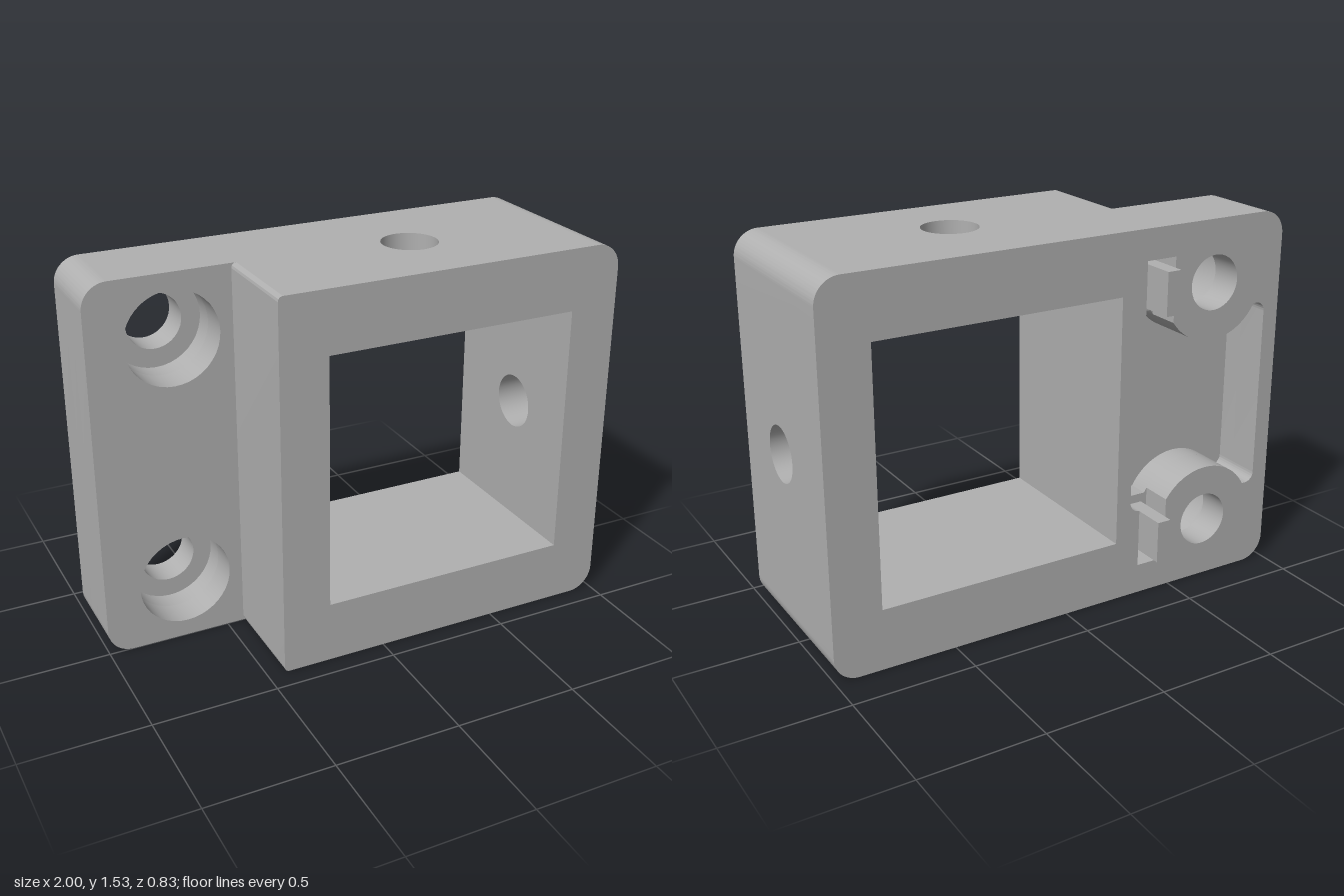
import * as THREE from 'three';
import { toCreasedNormals } from 'three/addons/utils/BufferGeometryUtils.js';

const H = 1.53;                              // overall height
const BACK = -0.345, FRONT = 0.415;          // body depth
const WIN = { x0: -0.235, x1: 0.8, y0: 0.25, y1: 1.28 };
const BOLT = { x: -0.67, y: 1.275, r: 0.112, bore: 0.188, boss: 0.235 };

// Rectangle with a radius per corner: bottom-left, bottom-right, top-right, top-left
function rect(x0, y0, x1, y1, [bl, br, tr, tl] = [0, 0, 0, 0]) {
  const s = new THREE.Shape();
  const corner = (x, y, r, a) => r
    ? s.absarc(x, y, r, a, a + Math.PI / 2, false)
    : s.lineTo(x, y);
  s.moveTo(x0, y0 + bl);
  corner(x0 + bl, y0 + bl, bl, Math.PI);
  corner(x1 - br, y0 + br, br, -Math.PI / 2);
  corner(x1 - tr, y1 - tr, tr, 0);
  corner(x0 + tl, y1 - tl, tl, Math.PI / 2);
  return s;
}

function circle(x, y, r) {
  return new THREE.Path().absarc(x, y, r, 0, Math.PI * 2, false);
}

// Pocket between the bolt bosses, optionally with the tab slots; upper half is mirrored down
function pocket(withSlots) {
  const right = -0.3, left = -0.93, top = 1.16, r = 0.045;
  const slot = { x0: -0.477, x1: -0.345, top: 1.405 };
  const p = new THREE.Path();
  p.moveTo(right, 0.8);
  p.absarc(right - r, top - r, r, 0, Math.PI / 2, false);
  const end = Math.asin((BOLT.y - top) / BOLT.boss);
  let start = end;
  if (withSlots) {
    p.lineTo(slot.x1, slot.top);
    p.lineTo(slot.x0, slot.top);
    start = Math.acos((slot.x0 - BOLT.x) / BOLT.boss);
  }
  p.absarc(BOLT.x, BOLT.y, BOLT.boss, -start, end - Math.PI, true);
  p.absarc(left + 0.04, top - 0.04, 0.04, Math.PI / 2, Math.PI, false);
  const half = p.getPoints(16);
  const lower = half.map(v => new THREE.Vector2(v.x, H - v.y)).reverse();
  return new THREE.Path([...half, ...lower]);
}

export function createModel() {
  const model = new THREE.Group();
  model.name = 'mountingBracket';
  const grey = new THREE.MeshStandardMaterial({ color: 0xb0b0b0 });
  grey.name = 'grey';

  const add = (name, geometry) => {
    const mesh = new THREE.Mesh(geometry, grey);
    mesh.name = name;
    model.add(mesh);
    return mesh;
  };
  const extrude = (shape, depth) => toCreasedNormals(
    new THREE.ExtrudeGeometry(shape, { depth, bevelEnabled: false, curveSegments: 20 }), 0.6);
  const slab = (name, shape, z0, z1) =>
    add(name, extrude(shape, z1 - z0).translate(0, 0, z0));

  // Flange in three layers: slots and pocket, pocket with counterbores, solid front
  const layers = [
    ['flangeBack', BACK, -0.21, BOLT.r, pocket(true)],
    ['flangeMiddle', -0.21, -0.125, BOLT.bore, pocket(false)],
    ['flangeFront', -0.125, 0, BOLT.bore, null],
  ];
  for (const [name, z0, z1, radius, cut] of layers) {
    const s = rect(-1, 0, WIN.x0, H, [0.1, 0, 0, 0.1]);
    for (const y of [BOLT.y, H - BOLT.y]) s.holes.push(circle(BOLT.x, y, radius));
    if (cut) s.holes.push(cut);
    slab(name, s, z0, z1);
  }

  // Locating tabs standing in the slots
  for (const y of [1.285, H - 1.285]) {
    add('locatingTab', new THREE.BoxGeometry(0.06, 0.176, 0.205)).position.set(-0.42, y, -0.3125);
  }

  // Square frame: inner side wall, floor and upper outer corner
  slab('innerWall', rect(-0.43, 0, WIN.x0, H, [0.02, 0, 0, 0.02]), 0, FRONT);
  slab('bottomWall', rect(WIN.x0, 0, 1, WIN.y0, [0, 0.1, 0, 0]), BACK, FRONT);
  slab('topCorner', rect(WIN.x1, WIN.y1, 1, H, [0, 0, 0.1, 0]), BACK, FRONT);

  // Top wall with its screw hole
  const top = rect(WIN.x0, -FRONT, WIN.x1, -BACK);
  top.holes.push(circle(0.28, -0.057, 0.112));
  add('topWall', extrude(top, H - WIN.y1).rotateX(-Math.PI / 2).translate(0, WIN.y1, 0));

  // Outer side wall with its screw hole
  const side = rect(-FRONT, WIN.y0, -BACK, WIN.y1);
  side.holes.push(circle(-0.057, H / 2, 0.112));
  add('outerWall', extrude(side, 1 - WIN.x1).rotateY(Math.PI / 2).translate(WIN.x1, 0, 0));

  return model;
}
